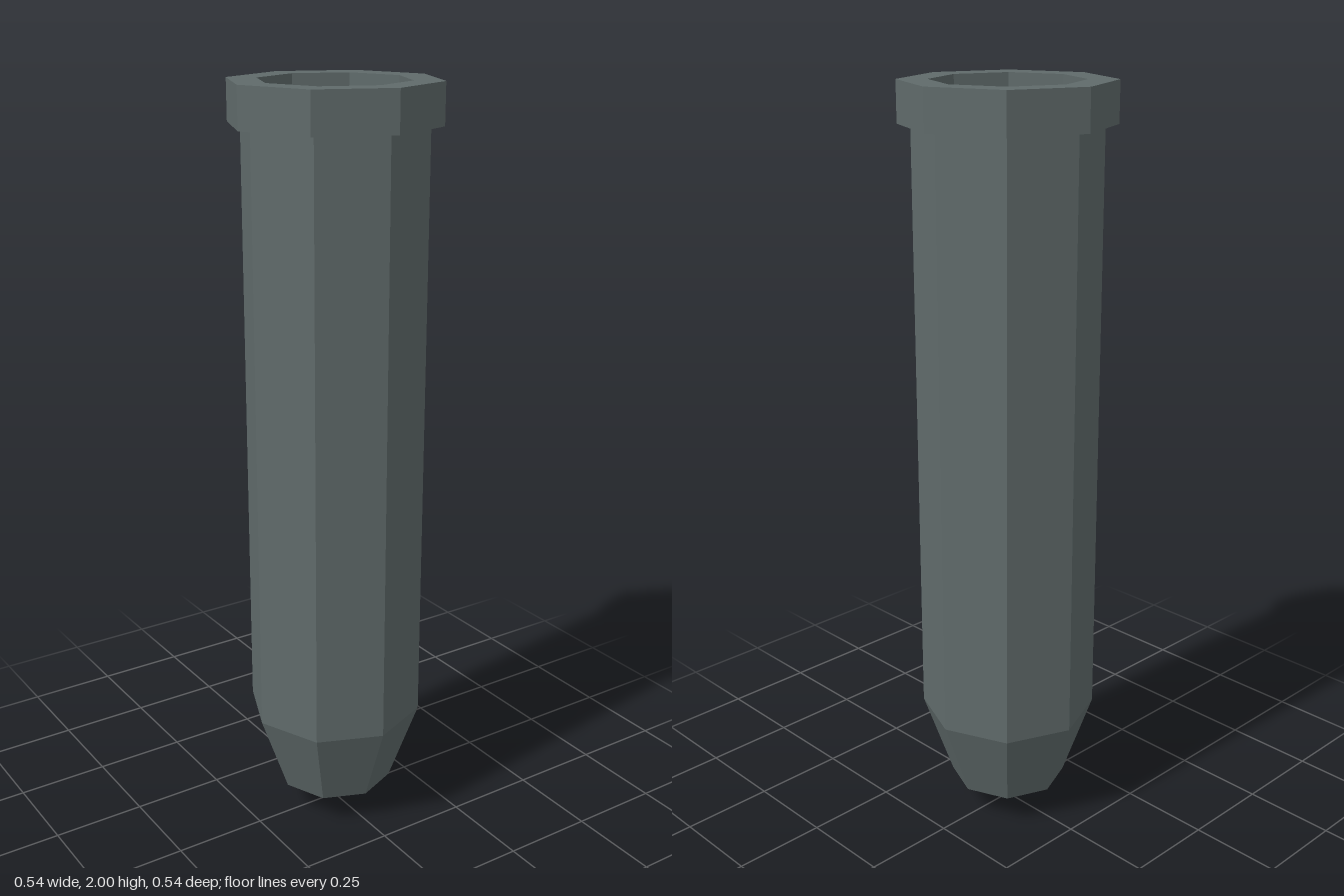
import * as THREE from 'three';

const SIDES = 8;

// Eight-sided turned part from [radius, height] pairs, outside running upward
function turned(name, profile, material) {
  const points = profile.map(([r, y]) => new THREE.Vector2(r, y));
  const mesh = new THREE.Mesh(new THREE.LatheGeometry(points, SIDES), material);
  mesh.name = name;
  return mesh;
}

export function createModel() {
  const group = new THREE.Group();
  group.name = 'hollowTube';
  const metal = new THREE.MeshStandardMaterial({ color: 0x606b6b, flatShading: true });
  const grey = new THREE.MeshStandardMaterial({ color: 0xcccccc, flatShading: true });
  const floorY = 0.31;

  // Pointed tip, tapered foot and straight shaft
  group.add(turned('body', [[0, 0], [0.157, 0.085], [0.237, 0.31], [0.237, 1.895]], metal));

  // Collar around the mouth
  group.add(turned('collar', [[0.237, 1.895], [0.27, 1.895], [0.27, 2], [0.193, 2]], metal));

  // Slightly narrowing bore, facing inward
  group.add(turned('bore', [[0.193, 2], [0.177, floorY]], metal));

  // Floor of the bore
  const floor = new THREE.Mesh(new THREE.CircleGeometry(0.177, SIDES), grey);
  floor.name = 'boreFloor';
  floor.rotation.x = -Math.PI / 2;
  floor.position.y = floorY;
  group.add(floor);

  return group;
}
